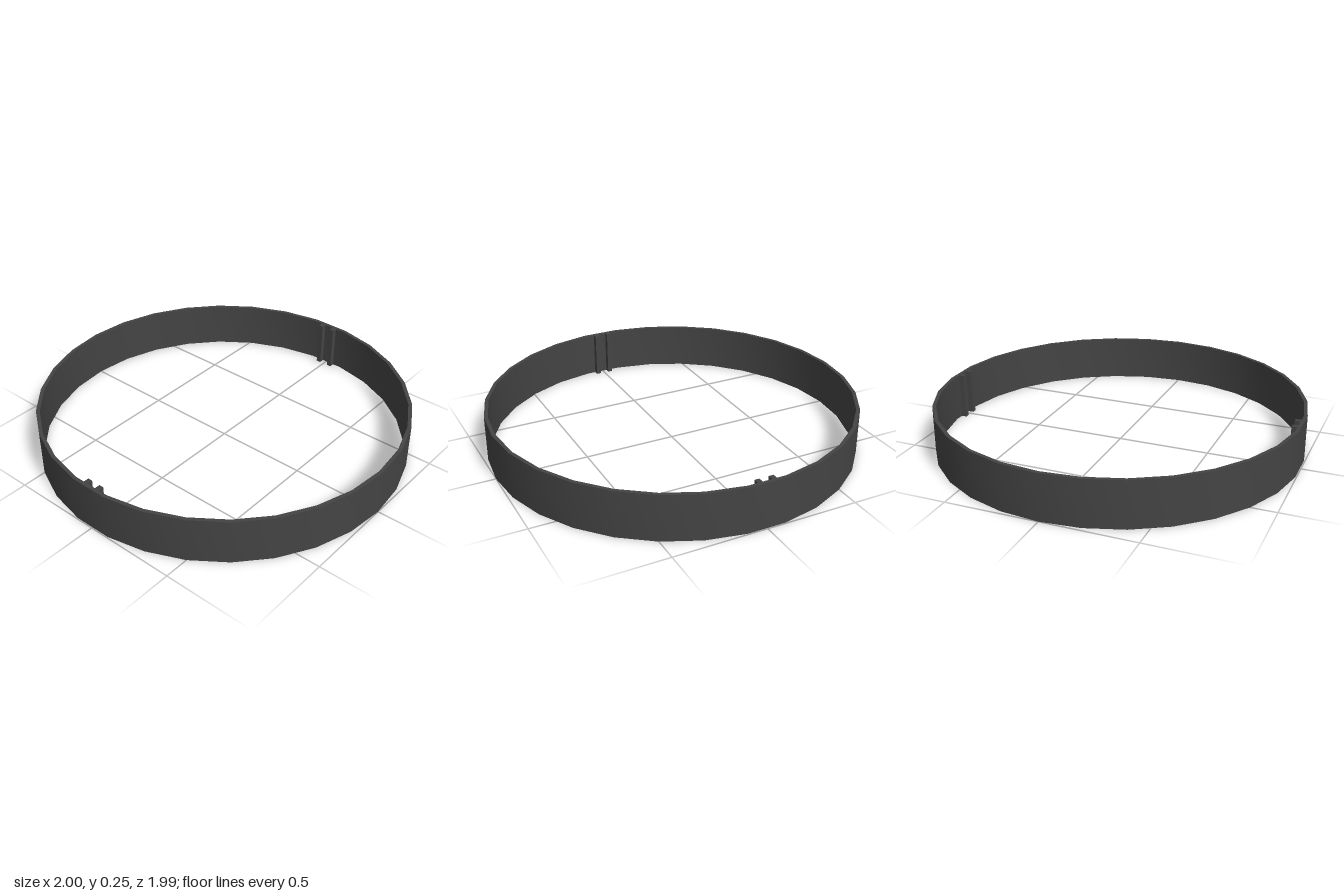
import * as THREE from 'three';
import { toCreasedNormals } from 'three/addons/utils/BufferGeometryUtils.js';

const HEIGHT = 0.25;
const OUTER = 1.0;
const INNER = 0.98;
const SIDES = 30;

export function createModel() {
  const model = new THREE.Group();
  model.name = 'ringBand';
  const material = new THREE.MeshStandardMaterial({ color: 0x444444 });

  // Thin band: a closed rectangular profile swept round, with a corner on +x and -x
  const profile = [
    [INNER, 0], [OUTER, 0], [OUTER, HEIGHT], [INNER, HEIGHT], [INNER, 0],
  ].map(([x, y]) => new THREE.Vector2(x, y));
  const bandGeometry = new THREE.LatheGeometry(profile, SIDES, Math.PI / 2, Math.PI * 2);
  const band = new THREE.Mesh(toCreasedNormals(bandGeometry, Math.PI / 6), material);
  band.name = 'band';
  model.add(band);

  // Pairs of full-height ribs inside the front and back, forming a slot between them
  const ribGeometry = new THREE.BoxGeometry(0.026, HEIGHT, 0.04);
  for (const [end, sz] of [['front', 1], ['back', -1]]) {
    for (const [side, sx] of [['Left', 1], ['Right', -1]]) {
      const rib = new THREE.Mesh(ribGeometry, material);
      rib.name = `${end}${side}Rib`;
      rib.position.set(sx * 0.038, HEIGHT / 2, sz * 0.965);
      model.add(rib);
    }
  }

  return model;
}
